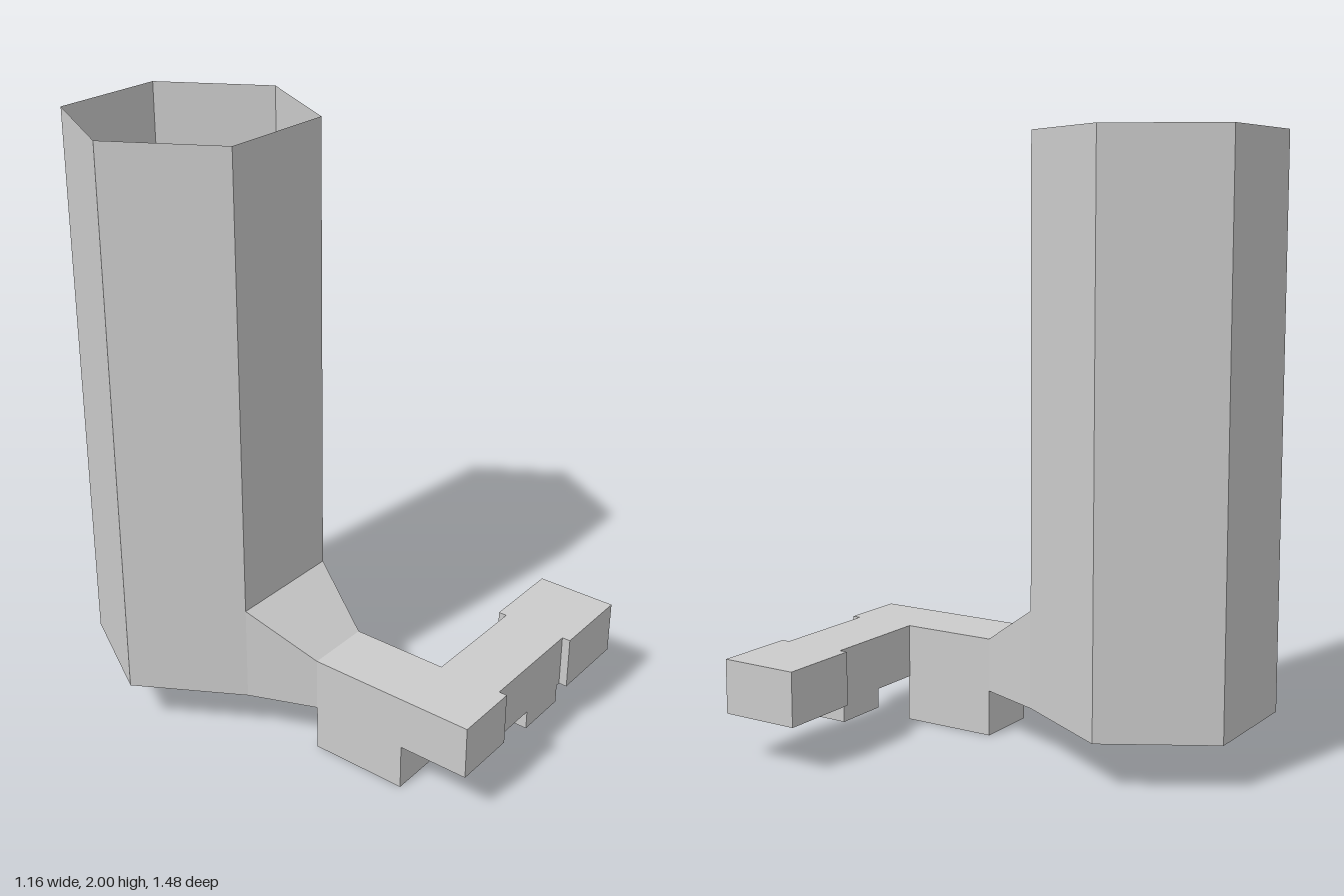
import * as THREE from 'three';

const material = new THREE.MeshStandardMaterial({ color: 0xcccccc, flatShading: true, side: THREE.DoubleSide });

function addMesh(group, name, geometry) {
  const mesh = new THREE.Mesh(geometry, material);
  mesh.name = name;
  group.add(mesh);
  return mesh;
}

// Box given by its extents along each axis
function addBlock(group, name, [x0, x1], [y0, y1], [z0, z1]) {
  const mesh = addMesh(group, name, new THREE.BoxGeometry(x1 - x0, y1 - y0, z1 - z0));
  mesh.position.set((x0 + x1) / 2, (y0 + y1) / 2, (z0 + z1) / 2);
}

export function createModel() {
  const group = new THREE.Group();
  group.name = 'hexagonalTubeWithArm';

  const base = 0.155, armTop = 0.335, top = 2;
  const radius = 0.396, cx = -0.185, cz = -0.398;
  const hexFront = cz + radius * Math.cos(Math.PI / 6);
  const neckEnd = 0.165;
  const armX = [-0.295, -0.075], armY = [base, armTop];

  // Thin-walled hexagonal tube, open at the top and closed by a floor
  const wall = new THREE.CylinderGeometry(radius, radius, top - base, 6, 1, true, Math.PI / 2);
  addMesh(group, 'tubeWall', wall).position.set(cx, (top + base) / 2, cz);
  const floor = new THREE.CircleGeometry(radius, 6).rotateX(Math.PI / 2);
  addMesh(group, 'tubeFloor', floor).position.set(cx, base, cz);

  // Neck tapering from the tube's front face down to the arm
  const neck = new THREE.BoxGeometry(1, 1, 1);
  const p = neck.attributes.position;
  for (let i = 0; i < p.count; i++) {
    const front = p.getZ(i) > 0;
    const halfWidth = front ? (armX[1] - armX[0]) / 2 : radius / 2;
    const height = front ? armTop : 0.48;
    p.setXYZ(i, cx + Math.sign(p.getX(i)) * halfWidth,
      p.getY(i) > 0 ? height : base, front ? neckEnd : hexFront);
  }
  neck.computeVertexNormals();
  addMesh(group, 'neck', neck);

  // Angled arm with its wider end block
  addBlock(group, 'forwardArm', armX, armY, [neckEnd, 0.74]);
  addBlock(group, 'crossArm', [-0.075, 0.305], armY, [0.495, 0.712]);
  addBlock(group, 'endBlock', [0.305, 0.58], armY, [0.467, 0.74]);

  // Blocks below the arms
  addBlock(group, 'mainFoot', armX, [0, base], [neckEnd, 0.5]);
  addBlock(group, 'smallFoot', [0.105, 0.29], [0.09, base], [0.495, 0.712]);

  return group;
}
